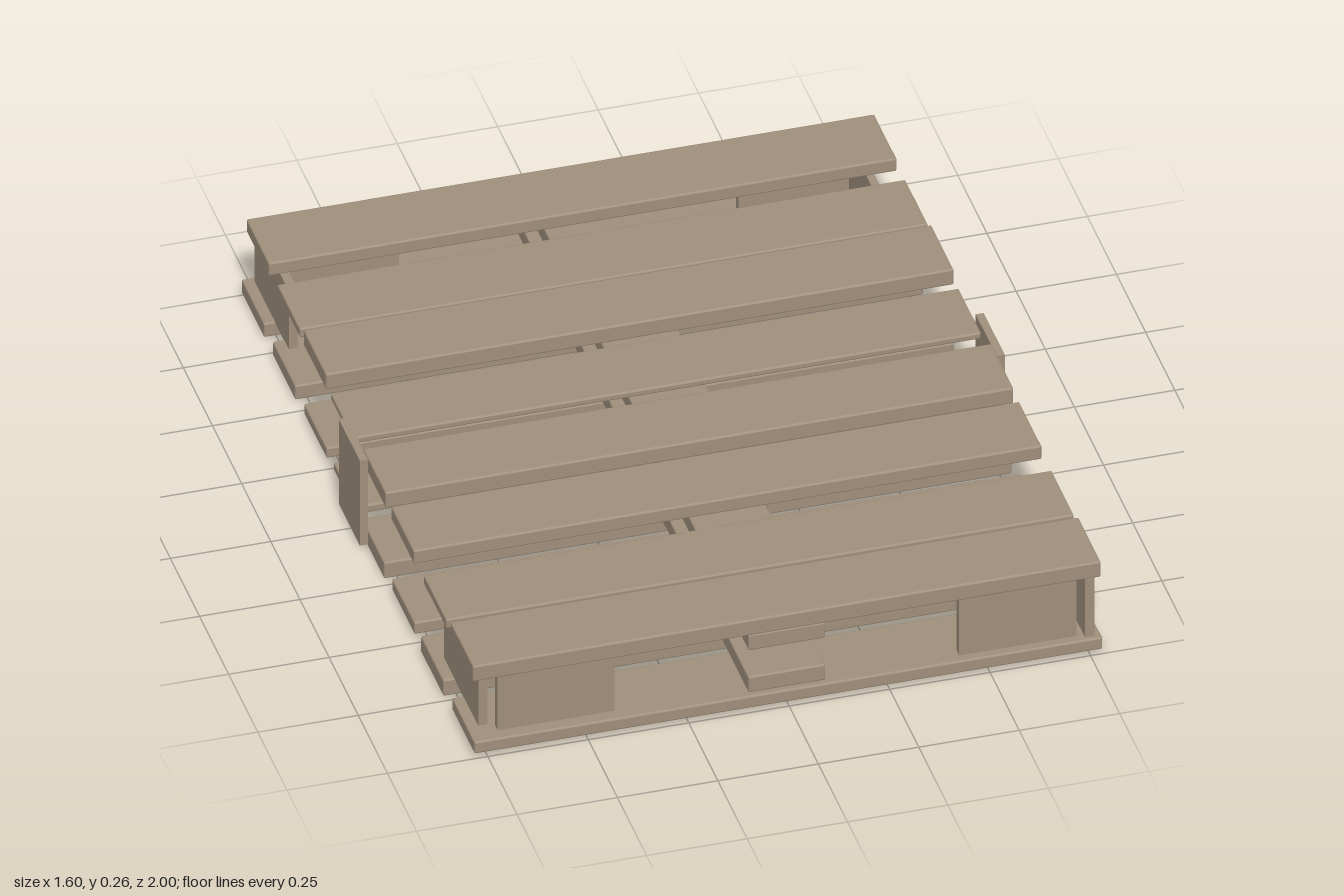
import * as THREE from 'three';
import { RoundedBoxGeometry } from 'three/addons/geometries/RoundedBoxGeometry.js';

export function createModel() {
  const pallet = new THREE.Group();
  pallet.name = 'pallet';
  const wood = new THREE.MeshStandardMaterial({ color: 0xa08f7c, flatShading: true });

  // Board spanning the given ranges; a bevel softens the edges.
  function board(name, [x0, x1], [y0, y1], [z0, z1], bevel = 0) {
    const size = [x1 - x0, y1 - y0, z1 - z0];
    const geometry = bevel
      ? new RoundedBoxGeometry(...size, 1, bevel)
      : new THREE.BoxGeometry(...size);
    const mesh = new THREE.Mesh(geometry, wood);
    mesh.name = name;
    mesh.position.set((x0 + x1) / 2, (y0 + y1) / 2, (z0 + z1) / 2);
    pallet.add(mesh);
  }

  const slatX = [-0.783, 0.78];
  const slatDepth = 0.193;

  // Upper slats: centre z and top height, front to back
  const upper = [
    [0.89, 0.263], [0.66, 0.244], [0.382, 0.257], [0.141, 0.263],
    [-0.137, 0.236], [-0.371, 0.263], [-0.595, 0.244], [-0.861, 0.255],
  ];
  for (const [z, top] of upper) {
    board('upperSlat', slatX, [0.218, top], [z - slatDepth / 2, z + slatDepth / 2], 0.004);
  }

  // Lower slats: centre z and underside height, front to back
  const lower = [
    [0.903, 0.016], [0.635, 0.003], [0.387, 0.016], [0.128, 0.003],
    [-0.113, 0.028], [-0.367, 0.02], [-0.635, 0.009], [-0.903, 0.01],
  ];
  for (const [z, bottom] of lower) {
    board('lowerSlat', slatX, [bottom, 0.05], [z - slatDepth / 2, z + slatDepth / 2], 0.004);
  }

  // Upper and lower runners along the middle
  board('upperRunner', [-0.097, 0.095], [0.173, 0.219], [-0.987, 0.985], 0.004);
  board('lowerRunner', [-0.097, 0.095], [0.05, 0.096], [-0.987, 0.985], 0.004);

  // Corner supports: an end plate across x and a side plate along z
  const plateY = [0.048, 0.22];
  const corners = [
    { endX: [0.43, 0.722], endZ: [0.955, 0.976], sideX: [0.74, 0.763], sideZ: [0.69, 0.987] },
    { endX: [-0.716, -0.425], endZ: [0.945, 0.966], sideX: [-0.755, -0.732], sideZ: [0.64, 0.935] },
    { endX: [0.43, 0.722], endZ: [-0.936, -0.915], sideX: [0.704, 0.724], sideZ: [-0.914, -0.62] },
    { endX: [-0.705, -0.415], endZ: [-0.936, -0.915], sideX: [-0.755, -0.732], sideZ: [-0.985, -0.69] },
  ];
  for (const { endX, endZ, sideX, sideZ } of corners) {
    board('cornerEndPlate', endX, plateY, endZ);
    board('cornerSidePlate', sideX, plateY, sideZ);
  }

  // Upright plates on the outside of both long sides
  board('leftUpright', [0.78, 0.8], [0.01, 0.258], [-0.088, 0.092]);
  board('rightUpright', [-0.803, -0.783], [0.01, 0.258], [-0.095, 0.085]);

  return pallet;
}
